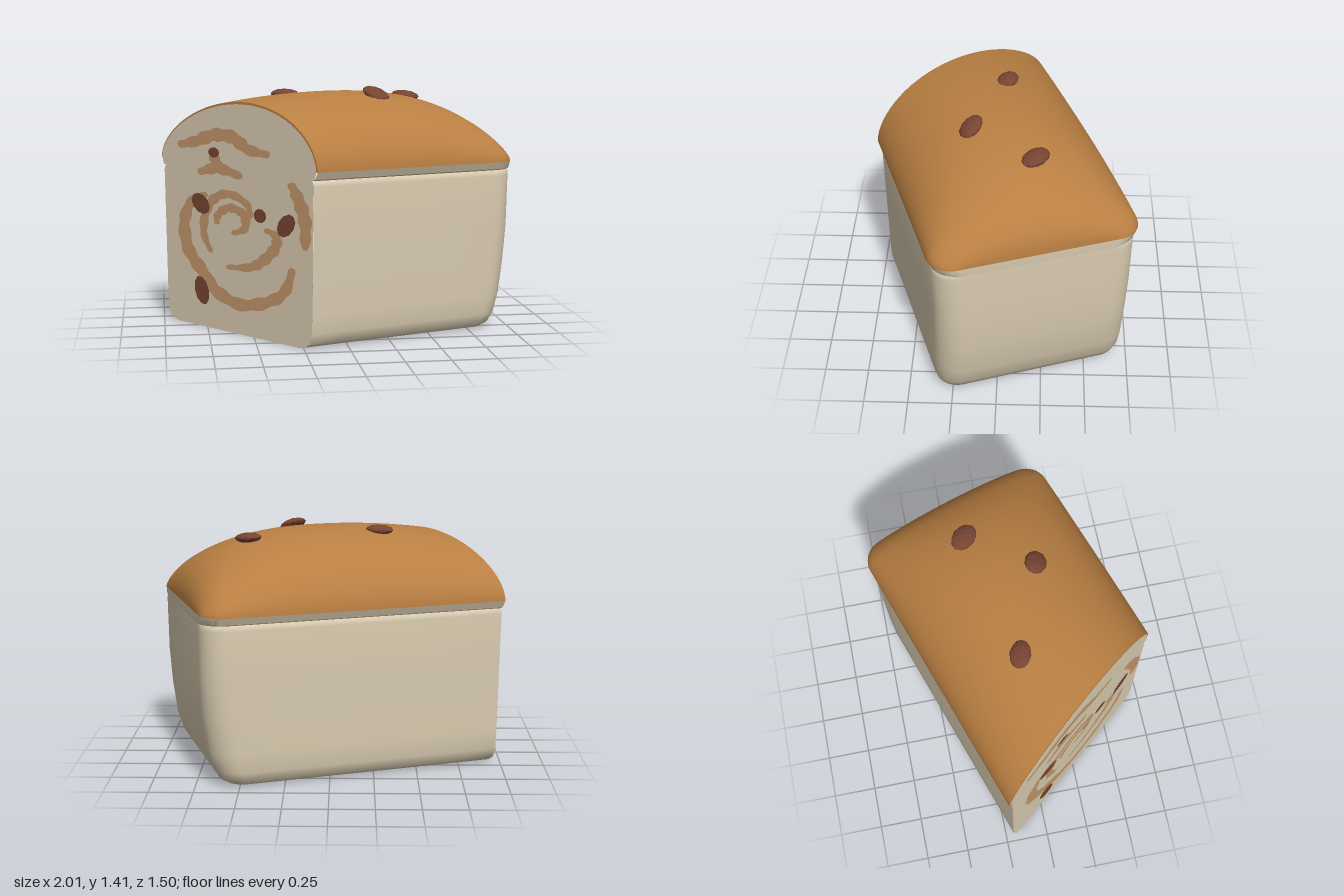
import * as THREE from 'three';
import { toCreasedNormals } from 'three/addons/utils/BufferGeometryUtils.js';

const mat = (name, color) => Object.assign(new THREE.MeshStandardMaterial({ color }), { name });
const MID = 0.048; // sideways centre of the loaf
const HALF = 0.594; // half width where crust meets side
const lerp = THREE.MathUtils.lerp;

// Slanted cut: lengthwise position for a sideways position
const cutU = (v) => -0.871 + 0.388 * (v + 0.548);

// Crust height above its lower edge, along the loaf
const domeH = (u) => u < 0 ? 0.4 - 0.12 * u * u
  : 0.4 * Math.pow(Math.max(0, 1 - Math.pow(u / 0.885, 2.3)), 0.45);
const domeY = (u, a) => 0.98 + domeH(u) * Math.pow(Math.max(0, Math.sin(a)), 1.1);

// Joins open rings of points into a skin, optionally closing the first ring
function loft(rings, capCentre) {
  const n = rings[0].length, index = [];
  for (let j = 0; j < rings.length - 1; j++) {
    for (let i = 0; i < n - 1; i++) {
      const a = j * n + i, b = a + 1, d = a + n, e = d + 1;
      index.push(a, d, b, b, d, e);
    }
  }
  const points = rings.flat();
  if (capCentre) {
    for (let i = 0; i < n; i++) index.push(points.length, i, (i + 1) % n);
    points.push(capCentre);
  }
  const g = new THREE.BufferGeometry();
  g.setAttribute('position', new THREE.Float32BufferAttribute(points.flat(), 3));
  g.setIndex(index);
  return toCreasedNormals(g, 0.7);
}

// Body levels: height, half width, far end, corner radius
const LEVELS = [
  [0, 0.47, 0.70, 0.08], [0.01, 0.505, 0.735, 0.10], [0.035, 0.535, 0.775, 0.12],
  [0.09, 0.552, 0.81, 0.14], [0.2, 0.556, 0.845, 0.15], [0.4, 0.56, 0.87, 0.15],
  [0.6, 0.563, 0.882, 0.14], [0.9, 0.569, 0.885, 0.14], [0.92, 0.567, 0.885, 0.14],
  [0.932, 0.556, 0.885, 0.14], [0.94, 0.575, 0.885, 0.14], [0.98, HALF, 0.885, 0.14],
];

function bodyRing([y, w, e, r]) {
  const half = (side) => {
    const v = MID + side * w, pts = [];
    for (let i = 0; i < 6; i++) pts.push([lerp(cutU(v), e - r, i / 6), y, v]);
    for (let i = 0; i <= 8; i++) {
      const a = (i / 8) * Math.PI / 2;
      pts.push([e - r + r * Math.sin(a), y, MID + side * (w - r + r * Math.cos(a))]);
    }
    return pts;
  };
  return [...half(-1), ...half(1).reverse()];
}

function crustGeometry() {
  const rings = [], N = 40;
  const ring = (w, uAt) => {
    const pts = [];
    for (let i = 0; i <= N; i++) {
      const a = (i / N) * Math.PI, v = MID + w * Math.cos(a), u = uAt(v);
      pts.push([u, domeY(u, a), v]);
    }
    rings.push(pts);
  };
  for (let s = 0; s < 24; s++) ring(HALF, (v) => lerp(cutU(v), 0.745, s / 24));
  for (let s = 0; s <= 12; s++) {
    const p = (s / 12) * Math.PI / 2;
    ring(HALF - 0.14 * (1 - Math.cos(p)), () => 0.745 + 0.14 * Math.sin(p));
  }
  return loft(rings);
}

// Flat plate drawn in x and y, laid on the slanted cut
function cutPlate(name, pts, material, lift) {
  const g = new THREE.ShapeGeometry(new THREE.Shape(pts.map(([x, y]) => new THREE.Vector2(x, y))));
  const p = g.attributes.position;
  for (let i = 0; i < p.count; i++) {
    const x = p.getX(i);
    p.setXYZ(i, x - 0.767 * lift, p.getY(i), -0.24 + (x + 1) * 1.195 + 0.642 * lift);
  }
  g.computeVertexNormals();
  const m = new THREE.Mesh(g, material);
  m.name = name;
  return m;
}
const cutX = (v) => -1 + (v + 0.548) / 1.4537;

// Dome outline on the cut, from right to left
function domeOutline(inset) {
  const pts = [];
  for (let i = 0; i <= 40; i++) {
    const a = (i / 40) * Math.PI, v = MID + HALF * Math.cos(a);
    pts.push([cutX(MID + (v - MID) * (1 - inset * 0.4)), 0.98 + (domeY(cutU(v), a) - 0.98) * (1 - inset)]);
  }
  return pts;
}

// Tapered, slightly uneven stroke along a smooth path
function stroke(path, width) {
  const curve = new THREE.SplineCurve(path.map(([x, y]) => new THREE.Vector2(x, y)));
  const left = [], right = [], n = path.length * 6;
  for (let i = 0; i <= n; i++) {
    const t = i / n, p = curve.getPoint(t), d = curve.getTangent(t);
    const w = width * 0.5 * (0.25 + 0.75 * Math.sqrt(Math.sin(Math.PI * t))) * (1 + 0.15 * Math.sin(i * 1.3));
    left.push([p.x - d.y * w, p.y + d.x * w]);
    right.push([p.x + d.y * w, p.y - d.x * w]);
  }
  return [...left, ...right.reverse()];
}

export function createModel() {
  const crumb = mat('crumb', 0xd9cbb0);
  const crust = mat('crust', 0xb97f42);
  const swirl = mat('cinnamon swirl', 0xc2966a);
  const raisin = mat('raisin', 0x764433);
  raisin.flatShading = true;
  const model = new THREE.Group();
  model.name = 'raisinLoaf';

  // Loaf, turned so the cut faces front right
  const loaf = new THREE.Group();
  loaf.name = 'loaf';
  loaf.rotation.y = 0.3257;
  const body = new THREE.Mesh(loft(LEVELS.map(bodyRing), [0, 0, MID]), crumb);
  body.name = 'body';
  const top = new THREE.Mesh(crustGeometry(), crust);
  top.name = 'crust';
  loaf.add(body, top);
  model.add(loaf);

  // Cut face with a thin crust rim
  const side = (s) => LEVELS.map(([y, w]) => [cutX(MID + s * w), y]);
  model.add(cutPlate('crustRim', domeOutline(0), crust, 0));
  model.add(cutPlate('cutFace', [...side(1).slice(0, -1), ...domeOutline(0.035), ...side(-1).slice(0, -1).reverse()], crumb, 0.003));

  // Cinnamon swirl
  const strokes = [
    [[[-0.9, 1.06], [-0.8, 1.09], [-0.7, 1.135], [-0.6, 1.13], [-0.52, 1.07], [-0.41, 1.05]], 0.075],
    [[[-0.79, 0.91], [-0.68, 0.945], [-0.55, 0.91]], 0.06],
    [[[-0.71, 1.04], [-0.69, 0.98], [-0.66, 0.93]], 0.06],
    [[[-0.74, 0.79], [-0.83, 0.73], [-0.87, 0.6], [-0.85, 0.45], [-0.78, 0.34], [-0.7, 0.23], [-0.57, 0.175],
      [-0.43, 0.22], [-0.34, 0.3], [-0.3, 0.44]], 0.075],
    [[[-0.72, 0.45], [-0.76, 0.55], [-0.75, 0.68], [-0.7, 0.77], [-0.62, 0.805], [-0.53, 0.76], [-0.51, 0.68]], 0.05],
    [[[-0.61, 0.58], [-0.54, 0.62], [-0.55, 0.7], [-0.62, 0.725], [-0.68, 0.68], [-0.69, 0.62]], 0.05],
    [[[-0.64, 0.38], [-0.52, 0.4], [-0.45, 0.45], [-0.39, 0.53], [-0.38, 0.6], [-0.44, 0.63]], 0.055],
    [[[-0.31, 0.91], [-0.27, 0.82], [-0.24, 0.7], [-0.24, 0.55]], 0.065],
  ];
  for (const [path, width] of strokes) model.add(cutPlate('swirl', stroke(path, width), swirl, 0.005));

  // Raisins sliced by the cut: x, y, radii, tilt
  const slices = [
    [-0.7, 1.035, 0.03, 0.03, 0], [-0.775, 0.73, 0.046, 0.064, 0.5], [-0.46, 0.705, 0.032, 0.04, 0],
    [-0.33, 0.67, 0.04, 0.07, -0.4], [-0.775, 0.215, 0.04, 0.085, 0.15],
  ];
  for (const [x, y, rx, ry, tilt] of slices) {
    const pts = [];
    for (let i = 0; i < 10; i++) {
      const a = (i / 10) * Math.PI * 2, px = rx * Math.cos(a), py = ry * Math.sin(a);
      pts.push([x + px * Math.cos(tilt) - py * Math.sin(tilt), y + px * Math.sin(tilt) + py * Math.cos(tilt)]);
    }
    model.add(cutPlate('slicedRaisin', pts, raisin, 0.008));
  }

  // Raisins on top: position, radii, turns
  const tops = [
    [-0.28, 1.36, -0.03, 0.085, 0.06, 0, -0.35, 0],
    [0.23, 1.365, 0.16, 0.085, 0.065, 0.3, -0.6, -0.25],
    [0.47, 1.337, -0.2, 0.09, 0.065, 0, -0.75, -0.1],
  ];
  for (const [x, y, z, rx, rz, ax, ay, az] of tops) {
    const m = new THREE.Mesh(new THREE.IcosahedronGeometry(1, 1), raisin);
    m.name = 'topRaisin';
    m.position.set(x, y, z);
    m.scale.set(rx, 0.03, rz);
    m.rotation.set(ax, ay, az);
    model.add(m);
  }
  return model;
}
